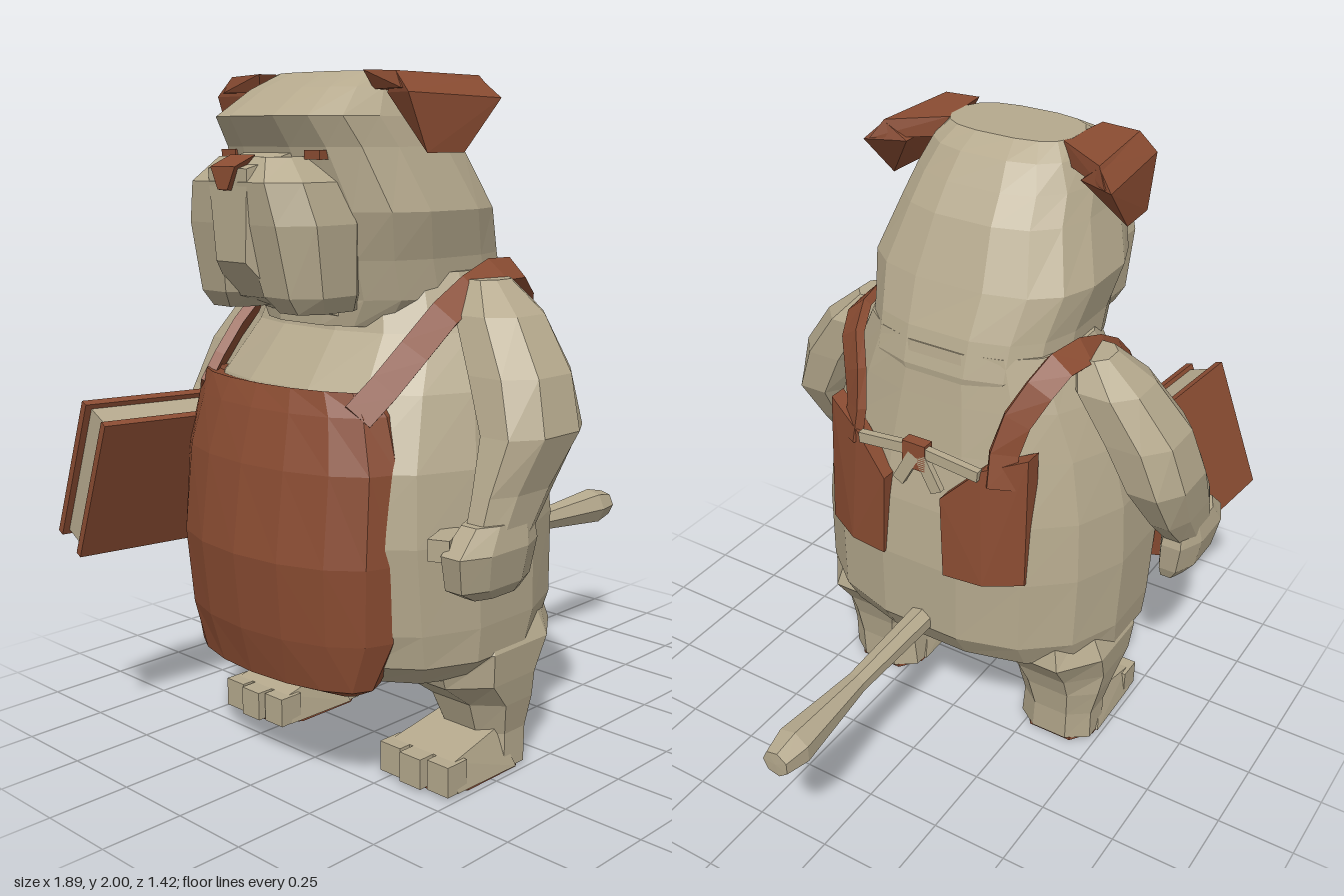
import * as THREE from 'three';
import { ConvexGeometry } from 'three/addons/geometries/ConvexGeometry.js';

const V = (x, y, z) => new THREE.Vector3(x, y, z);
const tan = new THREE.MeshStandardMaterial({ color: 0xb5a98d, flatShading: true });
const brown = new THREE.MeshStandardMaterial({ color: 0x8a4c32, flatShading: true, side: THREE.DoubleSide });

function mesh(name, geometry, material) {
  const m = new THREE.Mesh(geometry, material);
  m.name = name;
  return m;
}

// Skin a list of equal-sized rings; closed rings also get end caps
function loft(rings, closed = true) {
  const n = rings[0].length, pos = [], idx = [];
  rings.flat().forEach((p) => pos.push(p.x, p.y, p.z));
  for (let i = 0; i < rings.length - 1; i++) {
    for (let j = 0; j < (closed ? n : n - 1); j++) {
      const a = i * n + j, b = i * n + ((j + 1) % n);
      idx.push(a, a + n, b, b, a + n, b + n);
    }
  }
  if (closed) {
    const top = (rings.length - 1) * n;
    for (let j = 1; j < n - 1; j++) idx.push(0, j, j + 1, top, top + j + 1, top + j);
  }
  const g = new THREE.BufferGeometry();
  g.setAttribute('position', new THREE.Float32BufferAttribute(pos, 3));
  g.setIndex(idx);
  g.computeVertexNormals();
  return g;
}

// Horizontal rounded ring: height, front x, back x, half width, z centre
function ring([y, x0, x1, hz, zc = 0], n, power) {
  const sp = (v) => Math.sign(v) * Math.pow(Math.abs(v), power);
  return Array.from({ length: n }, (_, j) => {
    const a = ((j + 0.5) / n) * Math.PI * 2;
    return V((x0 + x1) / 2 + ((x1 - x0) / 2) * sp(Math.cos(a)), y, zc + hz * sp(Math.sin(a)));
  });
}
const stack = (rows, n = 8, power = 0.85) => loft(rows.map((r) => ring(r, n, power)));

// Flat band following a path, facing away from a centre point
function band(points, width, thick, centre) {
  const curve = new THREE.CatmullRomCurve3(points), rings = [], steps = 10;
  for (let i = 0; i <= steps; i++) {
    const p = curve.getPoint(i / steps), t = curve.getTangent(i / steps);
    const s = t.clone().cross(p.clone().sub(centre)).normalize(), n = s.clone().cross(t).normalize();
    rings.push([[1, 1], [-1, 1], [-1, -1], [1, -1]].map(([a, b]) =>
      p.clone().addScaledVector(s, (a * width) / 2).addScaledVector(n, (b * thick) / 2)));
  }
  return loft(rings);
}

const hull = (pts, s = 1) => new ConvexGeometry(pts.map(([x, y, z]) => V(x, y, z * s)));

function box(name, size, at, material) {
  const m = mesh(name, new THREE.BoxGeometry(...size), material);
  m.position.set(...at);
  return m;
}

function makeBook() {
  const g = new THREE.Group();
  g.name = 'book';
  g.add(box('pages', [0.5, 0.42, 0.1], [0, 0, 0], tan));
  for (const s of [1, -1]) g.add(box('bookCover', [0.54, 0.45, 0.025], [0, 0, s * 0.06], brown));
  g.add(box('bookSpine', [0.03, 0.45, 0.13], [0.26, 0, 0], brown));
  g.rotation.set(0.38, -0.12, -0.03, 'YXZ');
  g.position.set(-0.665, 0.84, -0.48);
  return g;
}

export function createModel() {
  const model = new THREE.Group();
  model.name = 'animalWithApron';

  // Trunk
  model.add(mesh('body', stack([
    [0.28, -0.45, -0.05, 0.22], [0.33, -0.58, 0.05, 0.46], [0.4, -0.66, 0.14, 0.53],
    [0.5, -0.7, 0.205, 0.54], [0.75, -0.73, 0.21, 0.545], [0.95, -0.71, 0.19, 0.53],
    [1.15, -0.62, 0.15, 0.485], [1.3, -0.5, 0.125, 0.42], [1.46, -0.45, 0.1, 0.345],
  ], 16), tan));
  model.add(box('crotchPatch', [0.28, 0.01, 0.28], [-0.24, 0.277, 0], brown));

  // Head with heavy brow
  model.add(mesh('head', stack([
    [1.315, -0.53, 0.11, 0.27], [1.39, -0.53, 0.115, 0.33], [1.5, -0.56, 0.085, 0.335], [1.63, -0.59, 0.03, 0.365],
    [1.8, -0.645, -0.045, 0.305], [1.88, -0.695, -0.1, 0.285], [1.955, -0.58, -0.155, 0.245], [2, -0.48, -0.22, 0.205],
  ], 16, 0.72), tan));
  model.add(mesh('nose', hull([
    [-0.79, 1.75, 0.05], [-0.79, 1.75, -0.05], [-0.792, 1.69, 0.02], [-0.792, 1.69, -0.02],
    [-0.72, 1.78, 0.05], [-0.72, 1.78, -0.05], [-0.72, 1.68, 0],
  ]), brown));
  model.add(mesh('muzzleBridge', hull([-1, 1].flatMap((s) => [
    [-0.775, 1.745, s * 0.08], [-0.58, 1.8, s * 0.1], [-0.77, 1.5, s * 0.06], [-0.5, 1.34, s * 0.14], [-0.69, 1.4, s * 0.1],
  ])), tan));

  // Front apron: curved panel with its side edges turned in
  const apronRows = [
    [0.31, -0.66, -0.61, 0.29], [0.34, -0.735, -0.6, 0.35], [0.48, -0.77, -0.57, 0.4], [0.7, -0.79, -0.57, 0.415],
    [0.95, -0.755, -0.56, 0.41], [1.1, -0.715, -0.56, 0.37], [1.165, -0.69, -0.58, 0.33], [1.14, -0.6, -0.54, 0.31],
  ];
  model.add(mesh('apron', loft(apronRows.map(([y, xf, xe, hz]) => {
    const row = [V(xe + 0.06, y, -hz * 0.92)];
    for (let j = 0; j <= 8; j++) {
      const a = (j / 4 - 1) * Math.PI / 2;
      row.push(V(xe + (xf - xe) * Math.cos(a), y, hz * Math.sin(a)));
    }
    return [...row, V(xe + 0.06, y, hz * 0.92)];
  }), false), brown));

  for (const s of [1, -1]) {
    // Muzzle lobe and small eye
    model.add(mesh('jowl', stack([
      [1.365, -0.7, -0.46, 0.08, s * 0.14], [1.41, -0.735, -0.46, 0.115, s * 0.13], [1.6, -0.775, -0.45, 0.145, s * 0.11],
      [1.71, -0.785, -0.48, 0.13, s * 0.09], [1.775, -0.73, -0.52, 0.08, s * 0.06],
    ]), tan));
    model.add(box('eye', [0.04, 0.025, 0.06], [-0.61, 1.78, s * 0.17], brown));

    // Folded ear: top slab and hanging flap
    model.add(mesh('earTop', hull([
      [-0.48, 2, 0.21], [-0.28, 2, 0.19], [-0.48, 1.995, 0.33], [-0.18, 1.99, 0.355],
      [-0.46, 1.95, 0.23], [-0.26, 1.94, 0.22], [-0.49, 1.95, 0.36], [-0.15, 1.935, 0.39],
    ], s), brown));
    model.add(mesh('earFlap', hull([
      [-0.48, 1.995, 0.33], [-0.18, 1.985, 0.355], [-0.49, 1.94, 0.385], [-0.15, 1.93, 0.41],
      [-0.43, 1.785, 0.395], [-0.29, 1.785, 0.4], [-0.46, 1.94, 0.28], [-0.2, 1.93, 0.29],
    ], s), brown));

    // Arm and hand; the book arm reaches slightly further forward and out
    const f = s < 0 ? 0.03 : 0, hz = s < 0 ? -0.635 : 0.6;
    model.add(mesh('arm', stack([
      [0.78, -0.49 - f, -0.25 - f, 0.06, hz], [0.9, -0.455 - f, -0.16, 0.07, hz],
      [1.05, -0.41, -0.07, 0.11, s * 0.605], [1.2, -0.375, -0.055, 0.13, s * 0.54],
      [1.35, -0.32, -0.05, 0.12, s * 0.44], [1.44, -0.24, -0.1, 0.06, s * 0.385],
    ]), tan));
    model.add(mesh('hand', stack([
      [0.62, -0.47 - f, -0.27 - f, 0.04, hz - s * 0.02], [0.66, -0.55 - f, -0.25 - f, 0.065, hz - s * 0.01],
      [0.76, -0.575 - f, -0.235 - f, 0.075, hz], [0.83, -0.5 - f, -0.25 - f, 0.06, hz],
    ]), tan));
    const thumb = box('thumb', [0.13, 0.06, 0.06], [-0.5 - f, 0.77, hz - s * 0.07], tan);
    thumb.rotation.y = s * 0.4;
    model.add(thumb);

    // Leg, foot, toes and sole
    model.add(mesh('leg', stack([
      [0.01, -0.25, -0.05, 0.14, s * 0.35], [0.12, -0.25, -0.045, 0.135, s * 0.355], [0.22, -0.29, -0.025, 0.165, s * 0.35],
      [0.3, -0.4, 0.01, 0.19, s * 0.34], [0.4, -0.44, 0.085, 0.195, s * 0.345], [0.54, -0.38, 0.05, 0.13, s * 0.34],
    ]), tan));
    model.add(mesh('foot', hull([-1, 1].flatMap((e) => [
      [-0.4, 0.01, 0.35 + e * 0.135], [-0.4, 0.1, 0.35 + e * 0.12], [-0.15, 0.01, 0.35 + e * 0.14], [-0.2, 0.14, 0.35 + e * 0.11],
    ]), s), tan));
    for (const k of [-1, 0, 1]) {
      model.add(box('toe', [0.08, 0.09, 0.08], [-0.4 - (k ? 0 : 0.015), 0.055, s * (0.35 + k * 0.093)], tan));
    }
    model.add(mesh('sole', stack([[0, -0.43, -0.055, 0.135, s * 0.35], [0.012, -0.43, -0.055, 0.135, s * 0.35]], 8, 0.6), brown));

    // Shoulder strap
    const path = [[-0.62, 1.1, 0.32], [-0.51, 1.205, 0.355], [-0.36, 1.34, 0.375], [-0.2, 1.425, 0.375],
      [-0.04, 1.455, 0.355], [0.065, 1.385, 0.32], [0.125, 1.25, 0.265], [0.16, 1.1, 0.265]];
    model.add(mesh('strap', band(path.map(([x, y, z]) => V(x, y, z * s)), 0.085, 0.03, V(-0.22, 1.05, 0)), brown));

    // Back panel of the apron, with a tie string
    const panel = [[0.13, 1.2, 0.35], [0.14, 0.76, 0.355], [0.215, 0.75, 0.11], [0.215, 1.03, 0.1],
      [0.185, 1.15, 0.22], [0.2, 0.75, 0.24]];
    const back = mesh('backPanel', hull([...panel, ...panel.map(([x, y, z]) => [x - 0.06, y, z])], s), brown);
    back.position.z = 0.012;
    model.add(back);
    const tie = box('tieString', [0.025, 0.035, 0.2], [0.19, 1.15, s * 0.11], tan);
    tie.rotation.x = s * 0.1;
    const end = box('tieEnd', [0.02, 0.12, 0.04], [0.195, 1.09, s * 0.04], tan);
    end.rotation.x = -s * 0.5;
    model.add(tie, end);
  }
  model.add(box('tieKnot', [0.04, 0.09, 0.08], [0.185, 1.14, 0.01], brown));

  // Tail with a thicker tip
  const profile = [[0, 0.1], [0.045, 0.12], [0.043, 0.22], [0.035, 0.55], [0.063, 0.86], [0.045, 0.94], [0, 0.942]];
  const tail = mesh('tail', new THREE.LatheGeometry(profile.map(([r, h]) => new THREE.Vector2(r, h)), 7), tan);
  tail.rotation.z = -Math.PI / 2 - 0.025;
  tail.position.y = 0.53;
  model.add(tail);

  model.add(makeBook());
  return model;
}
